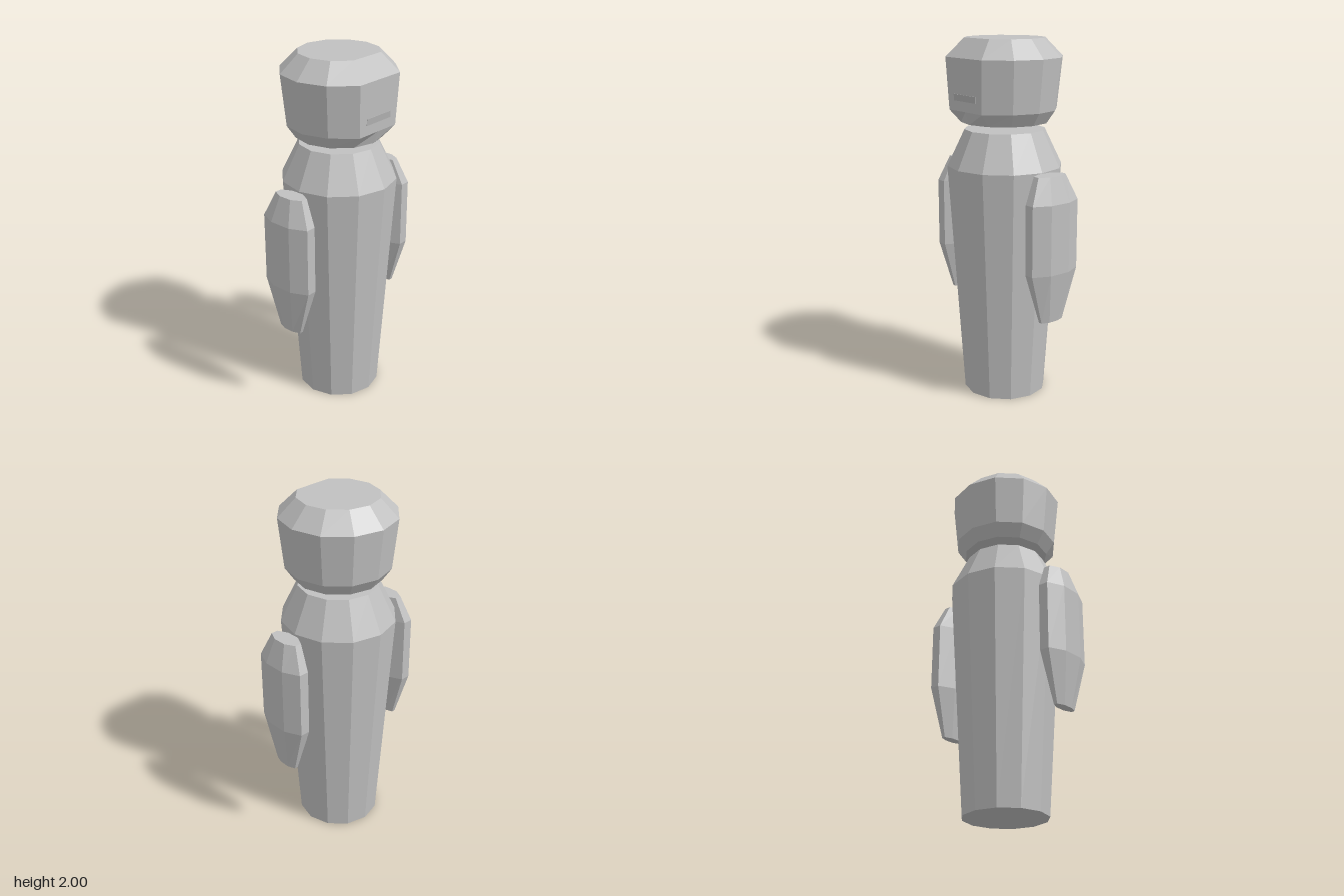
import * as THREE from 'three';

// Closed faceted solid from horizontal rings of [x, y, z], listed bottom to top
function loft(rings) {
  const pos = [];
  const tri = (a, b, c) => pos.push(...a, ...b, ...c);
  const n = rings[0].length;
  for (let k = 0; k < rings.length - 1; k++) {
    const lo = rings[k], hi = rings[k + 1];
    for (let i = 0; i < n; i++) {
      const j = (i + 1) % n;
      tri(lo[i], lo[j], hi[j]);
      tri(lo[i], hi[j], hi[i]);
    }
  }
  const top = rings[rings.length - 1], bottom = rings[0];
  for (let i = 1; i < n - 1; i++) {
    tri(top[0], top[i], top[i + 1]);
    tri(bottom[0], bottom[i + 1], bottom[i]);
  }
  const g = new THREE.BufferGeometry();
  g.setAttribute('position', new THREE.Float32BufferAttribute(pos, 3));
  g.computeVertexNormals();
  return g;
}

// Twelve-sided ring, first point at the front
function ring(y, r) {
  return Array.from({ length: 12 }, (_, i) => {
    const a = (i * Math.PI) / 6;
    return [r * Math.sin(a), y, r * Math.cos(a)];
  });
}

// Head ring with its three front points pressed onto a flat face
function faceRing(y, r, z) {
  const pts = ring(y, r);
  for (const i of [11, 0, 1]) pts[i][2] = z;
  return pts;
}

// Flattened eight-sided ring for the arms
const OCTAGON = [[0.4, 1], [1, 0.4], [1, -0.4], [0.4, -1], [-0.4, -1], [-1, -0.4], [-1, 0.4], [-0.4, 1]];
const armRing = (cx, y, rx, rz) => OCTAGON.map(([x, z]) => [cx + x * rx, y, z * rz]);

export function createModel() {
  const model = new THREE.Group();
  model.name = 'figure';
  const grey = new THREE.MeshStandardMaterial({ color: 0xc0c0c0 });
  grey.name = 'light grey';
  const dark = new THREE.MeshStandardMaterial({ color: 0xb0b0b0 });
  dark.name = 'mouth grey';

  const add = (name, geometry, material = grey) => {
    const mesh = new THREE.Mesh(geometry, material);
    mesh.name = name;
    model.add(mesh);
    return mesh;
  };

  // Tapered body with sloping shoulders
  add('body', loft([ring(0, 0.232), ring(1.31, 0.318), ring(1.51, 0.222)]));

  // Floating head with a flat face
  const chin = ring(1.55, 0.24);
  add('head', loft([
    chin,
    faceRing(1.62, 0.288, 0.266),
    faceRing(1.9, 0.318, 0.277),
    faceRing(2.0, 0.22, 0.189),
  ]));

  // Mouth bar on the face
  const mouth = add('mouth', new THREE.BoxGeometry(0.19, 0.035, 0.006), dark);
  mouth.position.set(0, 1.692, 0.268);
  mouth.rotation.x = 0.04;

  // Detached flipper arms, upright on the inner side
  for (const [name, s] of [['leftArm', 1], ['rightArm', -1]]) {
    add(name, loft([
      armRing(s * 0.398, 0.51, 0.026, 0.073),
      armRing(s * 0.398, 0.79, 0.07, 0.156),
      armRing(s * 0.398, 1.17, 0.07, 0.156),
      armRing(s * 0.377, 1.31, 0.047, 0.093),
    ]));
  }
  return model;
}
